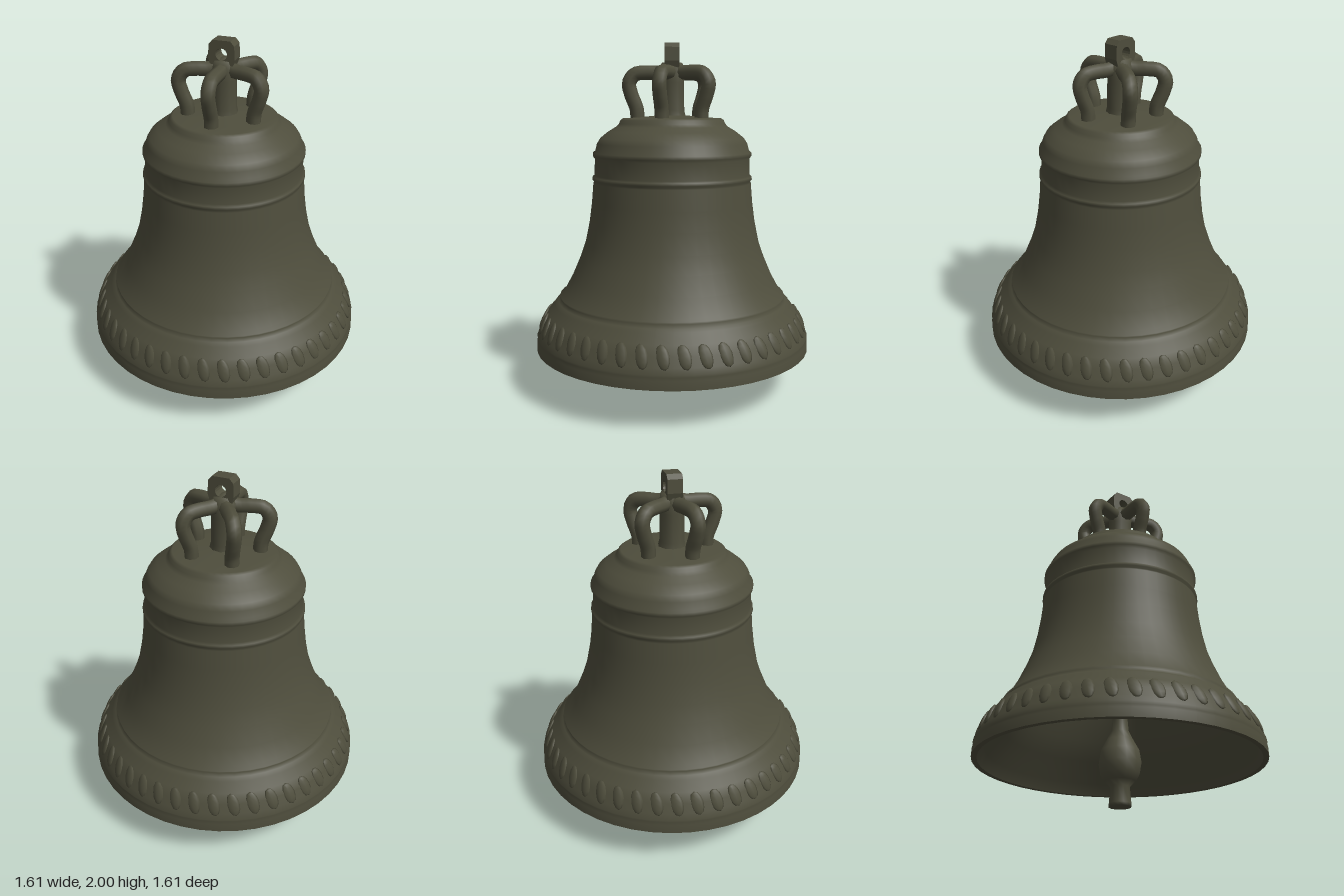
import * as THREE from 'three';

export function createModel() {
  const model = new THREE.Group();
  model.name = 'bell';
  const bronze = new THREE.MeshStandardMaterial({ color: 0x4e4d3c });
  bronze.name = 'aged bronze';

  const add = (name, geometry, parent = model) => {
    const mesh = new THREE.Mesh(geometry, bronze);
    mesh.name = name;
    parent.add(mesh);
    return mesh;
  };
  const lathe = (profile, sides) =>
    new THREE.LatheGeometry(profile.map(([r, y]) => new THREE.Vector2(r, y)), sides);

  // Outer wall, from the lip up over the shoulder to the crown plate
  add('outerWall', lathe([
    [0.805, 0.235], [0.803, 0.285], [0.796, 0.3], [0.802, 0.315], [0.785, 0.345],
    [0.765, 0.4], [0.735, 0.45], [0.69, 0.492], [0.694, 0.503], [0.672, 0.515],
    [0.66, 0.535], [0.664, 0.547], [0.642, 0.56], [0.59, 0.655], [0.545, 0.76],
    [0.51, 0.86], [0.485, 0.98], [0.47, 1.09], [0.46, 1.205], [0.456, 1.215],
    [0.466, 1.225], [0.464, 1.24], [0.452, 1.25], [0.45, 1.345], [0.461, 1.36],
    [0.461, 1.38], [0.447, 1.39], [0.437, 1.43], [0.418, 1.462], [0.37, 1.5],
    [0.325, 1.527], [0.308, 1.545], [0.3, 1.565], [0.285, 1.575], [0.2, 1.58], [0, 1.6],
  ], 48));

  // Hollow inside and the flat rim joining it to the outer wall
  add('innerWall', lathe([
    [0, 1.5], [0.3, 1.48], [0.37, 1.42], [0.395, 1.2], [0.415, 1.0], [0.45, 0.83],
    [0.51, 0.68], [0.58, 0.53], [0.65, 0.42], [0.74, 0.3], [0.775, 0.235],
  ], 48));
  add('rim', lathe([[0.775, 0.235], [0.805, 0.235]], 48));

  // Relief band of leaves around the flare
  const leaves = new THREE.Group();
  leaves.name = 'leafBand';
  model.add(leaves);
  const leafShape = new THREE.SphereGeometry(1, 8, 6);
  const leafCount = 44;
  for (let i = 0; i < leafCount; i++) {
    const pivot = new THREE.Group();
    pivot.rotation.y = (i / leafCount) * Math.PI * 2;
    leaves.add(pivot);
    const leaf = add('leaf', leafShape, pivot);
    leaf.position.set(0.763, 0.395, 0);
    leaf.rotation.set(0.25, 0, 0.42);
    leaf.scale.set(0.014, 0.066, 0.036);
  }

  // Clapper: rod, ball and tail
  add('clapper', lathe([
    [0, 0], [0.062, 0.001], [0.062, 0.02], [0.054, 0.11], [0.085, 0.14], [0.11, 0.18],
    [0.12, 0.24], [0.108, 0.31], [0.075, 0.37], [0.05, 0.42], [0.042, 0.5], [0.042, 1.5],
  ], 12));

  // Crown: central post with five curved arms
  const crown = new THREE.Group();
  crown.name = 'crown';
  model.add(crown);
  add('post', lathe([
    [0.085, 1.57], [0.072, 1.62], [0.07, 1.78], [0.078, 1.84], [0.06, 1.89], [0, 1.9],
  ], 10), crown);
  const armPath = new THREE.CatmullRomCurve3([
    [0.2, 1.565], [0.205, 1.63], [0.235, 1.71], [0.248, 1.775], [0.215, 1.825],
    [0.15, 1.835], [0.08, 1.835], [0, 1.85],
  ].map(([r, y]) => new THREE.Vector3(r, y, 0)));
  const armShape = new THREE.TubeGeometry(armPath, 24, 0.041, 8);
  for (let i = 0; i < 5; i++) {
    const arm = add('arm', armShape, crown);
    arm.rotation.y = THREE.MathUtils.degToRad(82 - i * 72);
  }

  // Pierced hanging lug on top, set diagonally
  const lugShape = new THREE.Shape([
    [-0.055, 1.84], [0.055, 1.84], [0.075, 1.9], [0.072, 1.975], [0.05, 2],
    [-0.05, 2], [-0.072, 1.975], [-0.075, 1.9],
  ].map(([x, y]) => new THREE.Vector2(x, y)));
  const hole = new THREE.Path();
  hole.absarc(0, 1.925, 0.033, 0, Math.PI * 2, true);
  lugShape.holes.push(hole);
  const lugGeometry = new THREE.ExtrudeGeometry(lugShape, {
    depth: 0.085, bevelEnabled: false, curveSegments: 8,
  });
  lugGeometry.translate(0, 0, -0.0425);
  add('hangingLug', lugGeometry, crown).rotation.y = -Math.PI / 4;

  return model;
}
